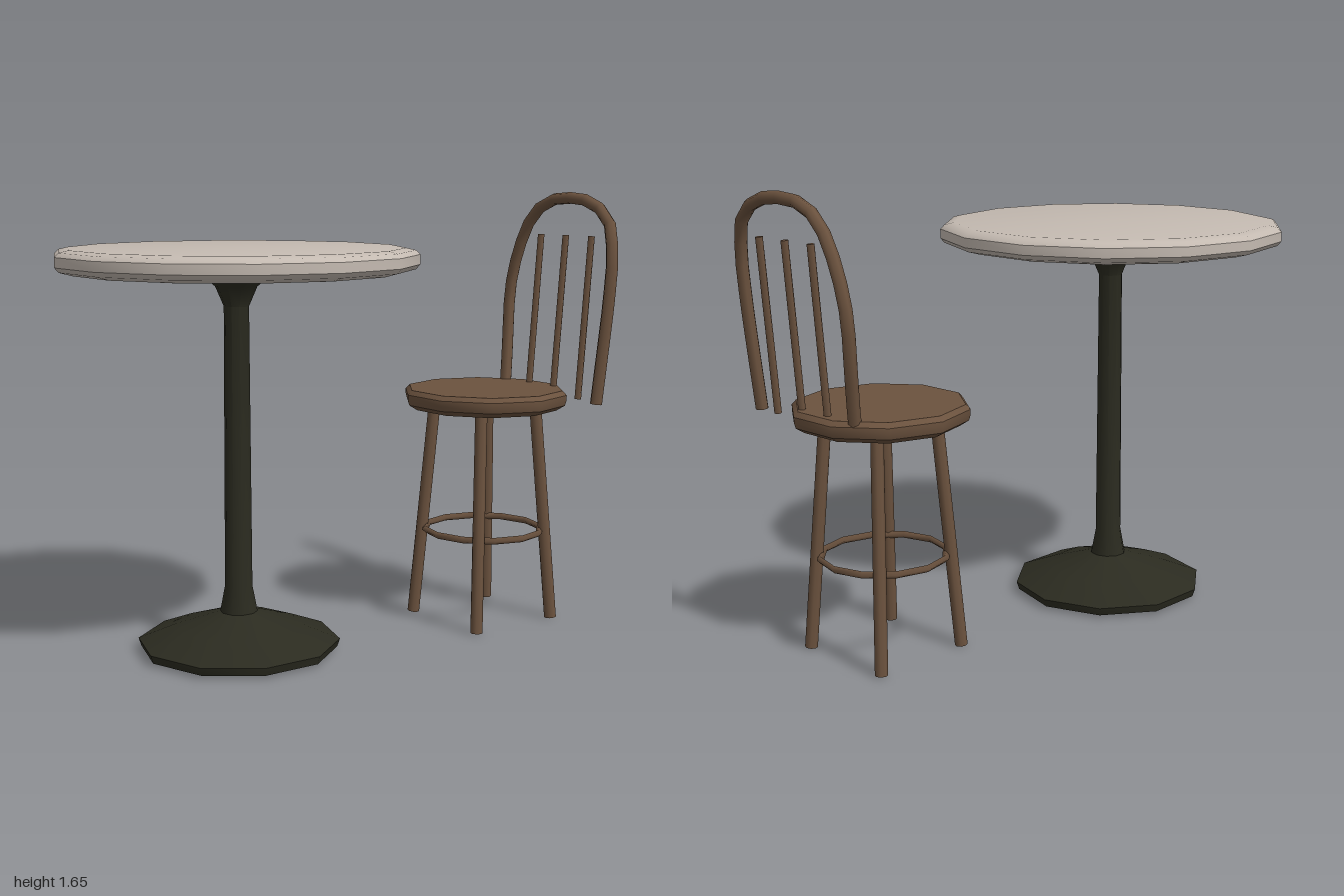
import * as THREE from 'three';
import { toCreasedNormals } from 'three/addons/utils/BufferGeometryUtils.js';

const stone = new THREE.MeshStandardMaterial({ color: 0xc4bab1 });
stone.name = 'pale stone';
const iron = new THREE.MeshStandardMaterial({ color: 0x2b2b20 });
iron.name = 'dark iron';
const wood = new THREE.MeshStandardMaterial({ color: 0x6b523e });
wood.name = 'brown wood';

const V = (x, y, z) => new THREE.Vector3(x, y, z);

function add(parent, name, geometry, material) {
  const mesh = new THREE.Mesh(geometry, material);
  mesh.name = name;
  parent.add(mesh);
  return mesh;
}

// Low-poly turned part from [radius, height] pairs, bottom to top
function turned(profile, sides, start = 0, crease = 0.7) {
  const points = profile.map(([r, y]) => new THREE.Vector2(r, y));
  return toCreasedNormals(new THREE.LatheGeometry(points, sides, start), crease);
}

// Straight round bar between two points
function rod(parent, name, a, b, radius, sides) {
  const dir = b.clone().sub(a);
  const mesh = add(parent, name, new THREE.CylinderGeometry(radius, radius, dir.length(), sides), wood);
  mesh.position.copy(a).add(b).multiplyScalar(0.5);
  mesh.quaternion.setFromUnitVectors(V(0, 1, 0), dir.normalize());
}

function createTable() {
  const table = new THREE.Group();
  table.name = 'table';
  table.position.x = -0.365;
  add(table, 'tableTop', turned([
    [0, 1.38], [0.585, 1.38], [0.635, 1.393], [0.65, 1.41],
    [0.65, 1.445], [0.635, 1.46], [0.6, 1.468], [0, 1.468],
  ], 14), stone);
  // Spreading foot, slim column and flared head in one turning
  add(table, 'pedestal', turned([
    [0, 0.01], [0.36, 0.01], [0.37, 0.04], [0.23, 0.095], [0.068, 0.145],
    [0.05, 0.24], [0.045, 1.26], [0.075, 1.33], [0.13, 1.375], [0.13, 1.385], [0, 1.385],
  ], 10, Math.PI / 2), iron);
  return table;
}

function createChair() {
  const chair = new THREE.Group();
  chair.name = 'chair';
  chair.position.set(0.66, 0, 0.172);

  add(chair, 'seat', turned([
    [0, 0.83], [0.28, 0.83], [0.312, 0.85], [0.318, 0.87],
    [0.318, 0.89], [0.302, 0.907], [0, 0.907],
  ], 10), wood);

  // Splayed legs
  for (const sx of [-1, 1]) {
    for (const sz of [-1, 1]) {
      rod(chair, 'leg', V(sx * 0.191, 0.002, sz * 0.191), V(sx * 0.137, 0.85, sz * 0.137), 0.023, 8);
    }
  }

  const ring = add(chair, 'footRing', new THREE.TorusGeometry(0.228, 0.013, 4, 12), wood);
  ring.rotation.x = Math.PI / 2;
  ring.position.y = 0.35;

  // Bent hoop of the backrest, leaning away from the seat
  const hoop = new THREE.CatmullRomCurve3([
    V(0.233, 0.865, 0.366), V(0.25, 1.05, 0.374), V(0.266, 1.25, 0.384), V(0.282, 1.43, 0.38),
    V(0.302, 1.555, 0.335), V(0.31, 1.615, 0.24), V(0.312, 1.632, 0.118), V(0.312, 1.615, -0.005),
    V(0.31, 1.555, -0.085), V(0.306, 1.44, -0.148), V(0.299, 1.28, -0.19), V(0.283, 1.13, -0.183),
    V(0.26, 1.0, -0.162), V(0.236, 0.875, -0.143),
  ]);
  add(chair, 'backHoop', new THREE.TubeGeometry(hoop, 22, 0.023, 7), wood);
  for (const [t, sign] of [[0, -1], [1, 1]]) {
    const cap = add(chair, 'hoopEnd', new THREE.CircleGeometry(0.023, 7), wood);
    cap.position.copy(hoop.getPoint(t));
    cap.quaternion.setFromUnitVectors(V(0, 0, 1), hoop.getTangent(t).multiplyScalar(sign));
  }

  // Upright spindles
  for (const z of [-0.022, 0.115, 0.253]) {
    rod(chair, 'spindle', V(0.25, 0.87, z), V(0.3, 1.49, z), 0.013, 6);
  }
  return chair;
}

export function createModel() {
  const model = new THREE.Group();
  model.name = 'tableAndChair';
  model.add(createTable(), createChair());
  return model;
}
